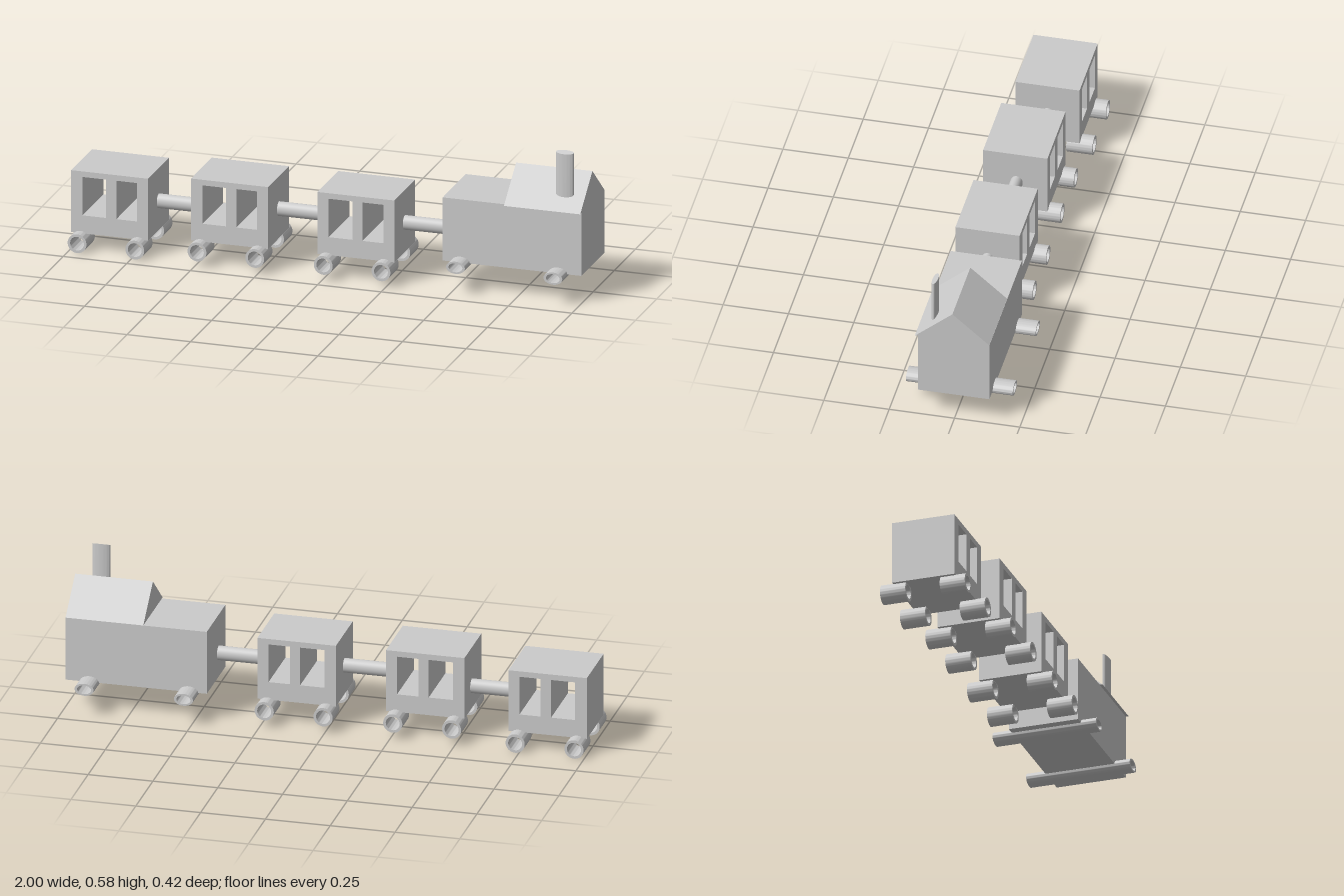
import * as THREE from 'three';
import { toCreasedNormals } from 'three/addons/utils/BufferGeometryUtils.js';

const material = new THREE.MeshStandardMaterial({ color: 0xcccccc });

function add(group, name, geometry) {
  const mesh = new THREE.Mesh(geometry, material);
  mesh.name = name;
  group.add(mesh);
  return mesh;
}

function rectangle(Type, x0, x1, y0, y1) {
  return new Type([[x0, y0], [x1, y0], [x1, y1], [x0, y1]].map(p => new THREE.Vector2(...p)));
}

// Extrudes an outline in the x-y plane from z0 to z1
function extrude(shape, z0, z1) {
  const geometry = new THREE.ExtrudeGeometry(shape, { depth: z1 - z0, bevelEnabled: false, curveSegments: 32 });
  return geometry.translate(0, 0, z0);
}

// Open-ended tube along z, optionally flattened in y
function tube(group, name, x, y, z0, z1, ry = 0.037) {
  const shape = new THREE.Shape().absarc(0, 0, 0.037, 0, Math.PI * 2);
  shape.holes.push(new THREE.Path().absarc(0, 0, 0.027, 0, Math.PI * 2, true));
  const geometry = extrude(shape, z0, z1).scale(1, ry / 0.037, 1).translate(x, y, 0);
  add(group, name, toCreasedNormals(geometry, 0.6));
}

// Box carriage with two window openings running right through, on four tubular wheels
function carriage(name, x, y, z) {
  const group = new THREE.Group();
  group.name = name;
  const body = rectangle(THREE.Shape, 0, 0.303, 0, 0.245);
  for (const [x0, x1] of [[0.045, 0.138], [0.178, 0.26]]) {
    body.holes.push(rectangle(THREE.Path, x0, x1, 0.071, 0.223));
  }
  add(group, 'carriageBody', extrude(body, 0, 0.246));
  for (const wx of [0.037, 0.264]) {
    tube(group, 'frontWheel', wx, -0.028, 0.188, 0.287);
    tube(group, 'backWheel', wx, -0.028, -0.048, 0.052);
  }
  group.position.set(x, y, z);
  return group;
}

function locomotive() {
  const group = new THREE.Group();
  group.name = 'locomotive';
  add(group, 'engineBody', new THREE.BoxGeometry(0.545, 0.25, 0.273).translate(0.7275, 0.235, 0.003));

  // Gabled cab roof with a thin overhanging front eave, swept along x
  const gable = new THREE.Shape([[-0.14, 0.36], [-0.152, 0.358], [-0.008, 0.481], [0.133, 0.36]]
    .map(p => new THREE.Vector2(...p)));
  add(group, 'cabRoof', extrude(gable, 0.7, 1).rotateY(Math.PI / 2));

  // Flattened chimney whose ends slope with the roof
  const chimney = new THREE.CylinderGeometry(0.035, 0.035, 1, 32).scale(1, 1, 0.0115 / 0.035);
  const p = chimney.attributes.position;
  for (let i = 0; i < p.count; i++) {
    p.setY(i, p.getY(i) > 0 ? 0.575 - p.getZ(i) * 0.4 : 0.41 - p.getZ(i) * 0.85);
  }
  chimney.translate(0.92, 0, 0.0915);
  add(group, 'chimney', toCreasedNormals(chimney, 0.6));

  // Flattened tubes spanning the underside
  for (const x of [0.525, 0.908]) tube(group, 'axleTube', x, 0.109, -0.21, 0.199, 0.024);
  return group;
}

export function createModel() {
  const train = new THREE.Group();
  train.name = 'train';
  train.add(
    carriage('rearCarriage', -1, 0.065, -0.09),
    carriage('middleCarriage', -0.524, 0.09, -0.076),
    carriage('leadCarriage', -0.03, 0.09, -0.083),
    locomotive()
  );

  // Oval couplings between the vehicles
  for (const [x0, x1, y, z] of [
    [-0.7, -0.522, 0.181, 0.031], [-0.223, -0.028, 0.207, 0.042], [0.271, 0.457, 0.207, 0.039]
  ]) {
    const rod = new THREE.CylinderGeometry(0.028, 0.028, x1 - x0, 32).rotateZ(Math.PI / 2).scale(1, 1, 0.84);
    add(train, 'coupling', rod.translate((x0 + x1) / 2, y, z));
  }
  return train;
}
